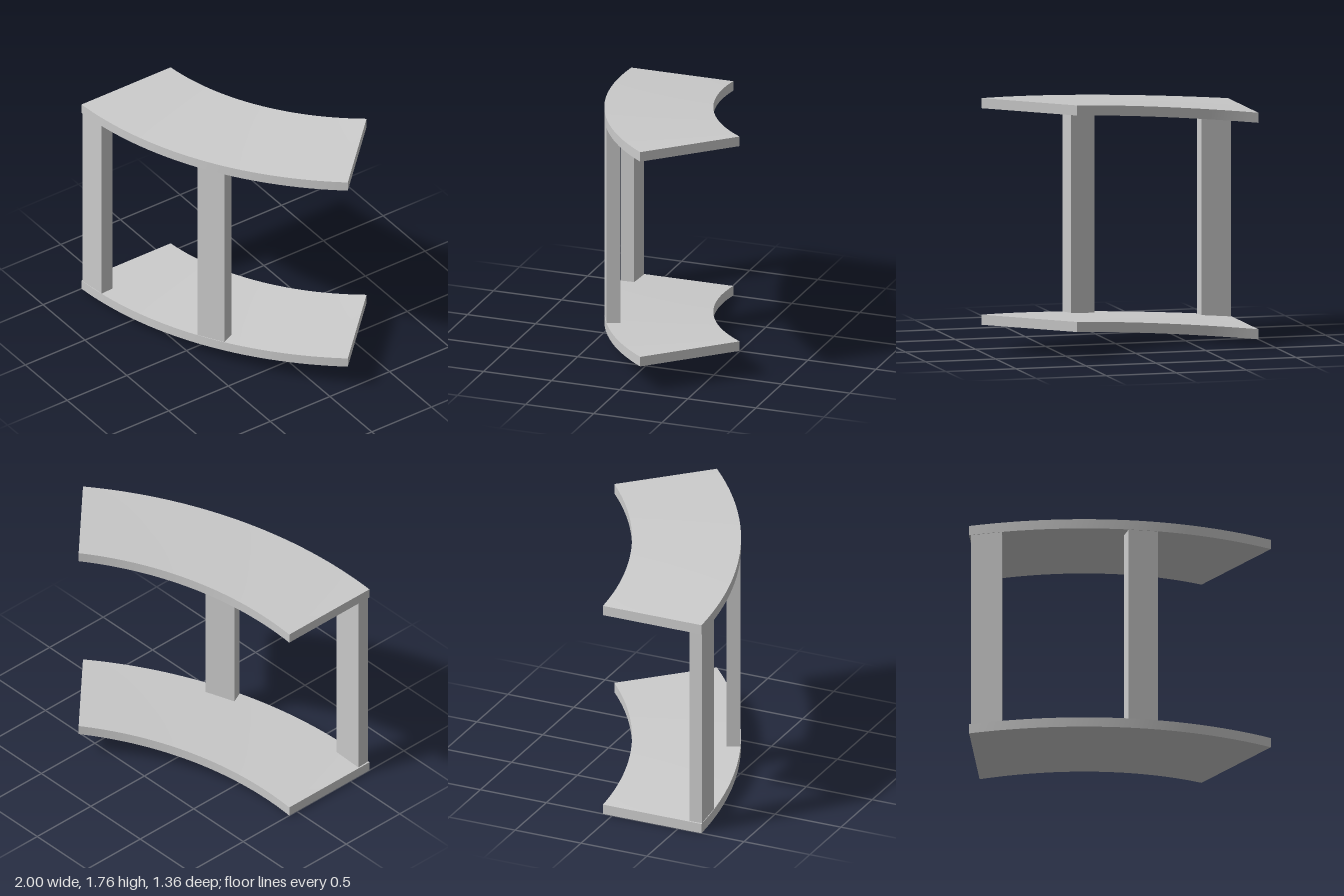
import * as THREE from 'three';

const CENTRE_X = -1, CENTRE_Z = -2.15; // axis of the curved ramp
const R_IN = 2.08, R_OUT = 2.828, SWEEP = Math.PI / 4;
const THICK = 0.07, RISE = 0.19, GAP = 1.5;

const material = new THREE.MeshStandardMaterial({ color: 0xcccccc });

// Curved slab climbing with the angle: a box bent around the axis
function slab(name, y0) {
  const geo = new THREE.BoxGeometry(1, THICK, 1, 32, 1, 2);
  const p = geo.attributes.position;
  for (let i = 0; i < p.count; i++) {
    const t = p.getX(i) + 0.5;
    const a = t * SWEEP;
    const r = THREE.MathUtils.lerp(R_IN, R_OUT, p.getZ(i) + 0.5);
    p.setXYZ(
      i,
      CENTRE_X + r * Math.sin(a),
      y0 + THICK / 2 + p.getY(i) + t * RISE,
      CENTRE_Z + r * Math.cos(a)
    );
  }
  geo.computeVertexNormals();
  const mesh = new THREE.Mesh(geo, material);
  mesh.name = name;
  return mesh;
}

// Upright near the outer rim, turned to face outwards, ends sunk into both slabs
function post(name, degrees) {
  const a = THREE.MathUtils.degToRad(degrees);
  const r = 2.777;
  const mesh = new THREE.Mesh(new THREE.BoxGeometry(0.213, GAP, 0.094), material);
  mesh.position.set(
    CENTRE_X + r * Math.sin(a),
    THICK / 2 + (a / SWEEP) * RISE + GAP / 2,
    CENTRE_Z + r * Math.cos(a)
  );
  mesh.rotation.y = a;
  mesh.name = name;
  return mesh;
}

export function createModel() {
  const group = new THREE.Group();
  group.name = 'curvedRampSection';
  group.add(
    slab('lowerSlab', 0),
    slab('upperSlab', GAP),
    post('endPost', 2.4),
    post('middlePost', 24.6)
  );
  return group;
}
